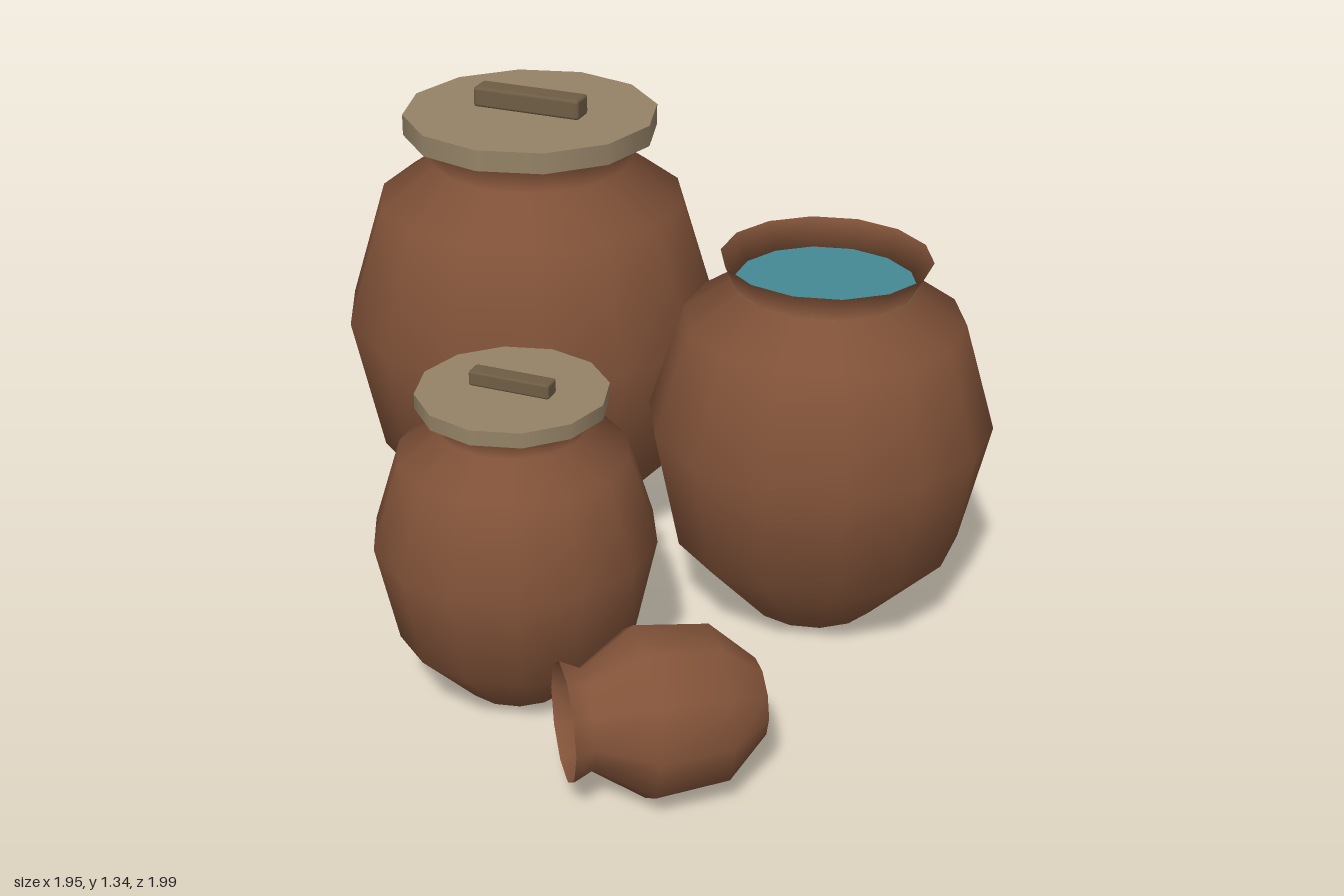
import * as THREE from 'three';
import { RoundedBoxGeometry } from 'three/addons/geometries/RoundedBoxGeometry.js';

const material = (name, color, extra = {}) =>
  Object.assign(new THREE.MeshStandardMaterial({ color, ...extra }), { name });

// Profiles as [radius, height], from the foot up to the flared rim
const TALL = [[0.22, 0], [0.465, 0.263], [0.55, 0.665], [0.443, 1.015], [0.285, 1.125], [0.33, 1.215]];
const ROUND = [[0.1, 0], [0.203, 0.115], [0.2225, 0.305], [0.13, 0.443], [0.155, 0.497]];

export function createModel() {
  const clay = material('clay', 0x825339, { side: THREE.DoubleSide });
  const lidWood = material('lid wood', 0x958367);
  const handleWood = material('handle wood', 0x6f5d45);
  const water = material('water', 0x44899a & 0xffff00 | 0x94);

  const model = new THREE.Group();
  model.name = 'jars';

  const add = (parent, name, geometry, mat, y = 0) => {
    const mesh = new THREE.Mesh(geometry, mat);
    mesh.name = name;
    mesh.position.y = y;
    parent.add(mesh);
    return mesh;
  };

  // Smooth turned body with a separate flat base, so the foot stays crisp
  function jar(name, profile, sides, x, y, z, scale = 1) {
    const group = new THREE.Group();
    group.name = name;
    group.position.set(x, y, z);
    group.scale.setScalar(scale);
    const points = profile.map(([r, h]) => new THREE.Vector2(r, h));
    add(group, 'body', new THREE.LatheGeometry(points, sides), clay);
    add(group, 'base', new THREE.LatheGeometry([new THREE.Vector2(0, 0), points[0]], sides), clay);
    model.add(group);
    return group;
  }

  // Flat wooden lid with a bar handle
  function addLid(group) {
    add(group, 'lid', new THREE.CylinderGeometry(0.365, 0.365, 0.06, 12), lidWood, 1.24);
    add(group, 'lidHandle', new RoundedBoxGeometry(0.328, 0.06, 0.075, 1, 0.01), handleWood, 1.297);
  }

  addLid(jar('largeJar', TALL, 14, -0.445, 0.015, -0.45));
  addLid(jar('smallJar', TALL, 14, -0.09, 0.015, 0.455, 0.682));

  // Open jar filled to the neck
  const open = jar('openJar', TALL, 14, 0.51, 0.015, -0.25, 0.864);
  const surface = new THREE.LatheGeometry([new THREE.Vector2(0.287, 0), new THREE.Vector2(0, 0)], 14);
  add(open, 'waterSurface', surface, water, 1.128);

  // Little jar lying on its side
  const fallen = jar('fallenJar', ROUND, 10, 0.63, 0.2125, 0.578);
  fallen.rotation.set(0, 0.616, Math.PI / 2);

  return model;
}
